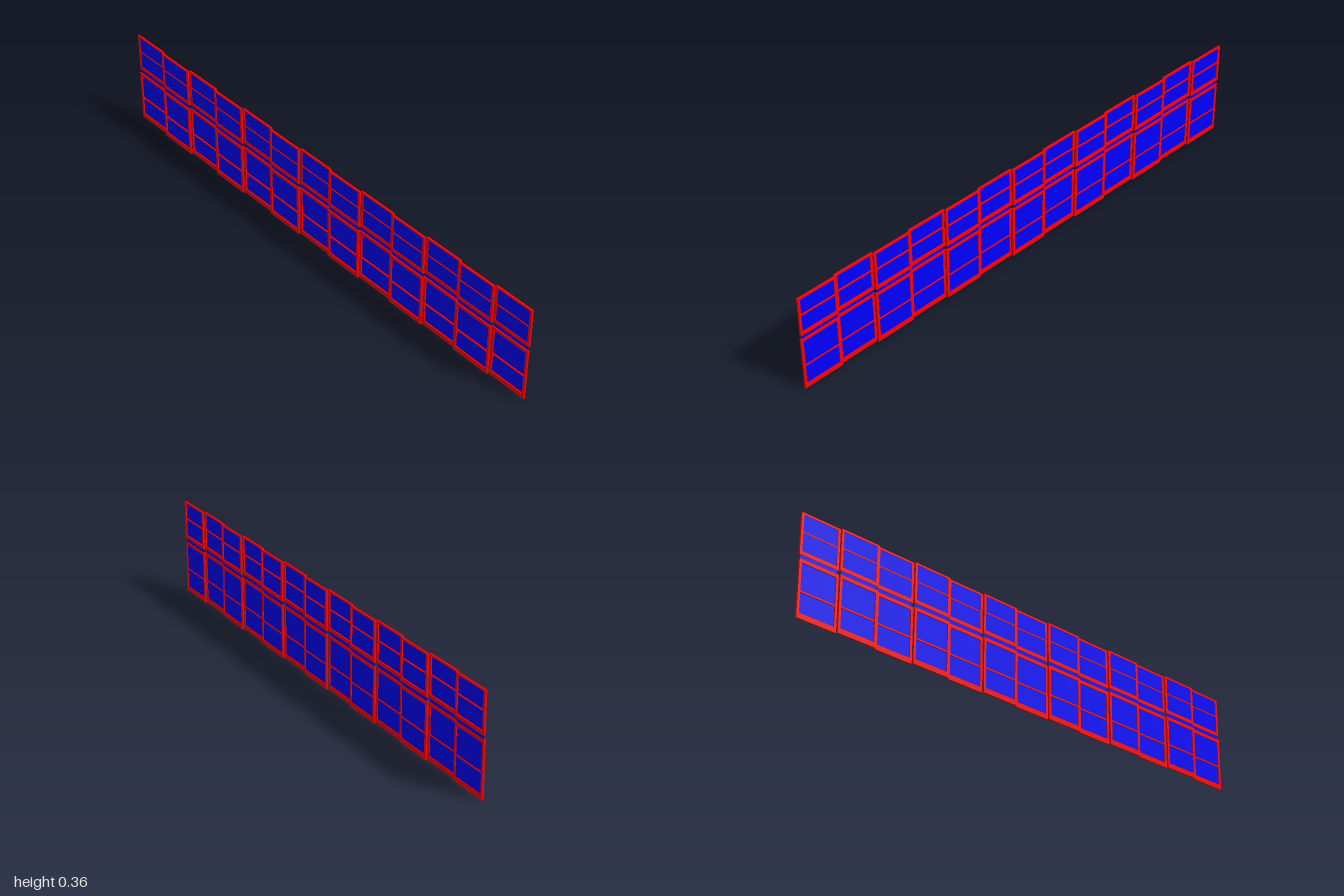
import * as THREE from 'three';

const COLUMNS = 13, PITCH = 2 / COLUMNS, WIDTH = PITCH - 0.0006;
const DEPTH = 0.0065, STILE = 0.009;

const red = new THREE.MeshStandardMaterial({ color: 0xff0000 });
const blue = new THREE.MeshStandardMaterial({ color: 0x0000ff, side: THREE.DoubleSide });

function rect(target, x0, y0, x1, y1) {
  target.moveTo(x0, y0);
  target.lineTo(x1, y0);
  target.lineTo(x1, y1);
  target.lineTo(x0, y1);
  target.closePath();
  return target;
}

// Window frame with two panes: outer height, rail sizes and one crossbar
function sashGeometry({ bottom, top, bottomRail, topRail, bar, barSize }) {
  const w = WIDTH / 2, i = w - STILE;
  const shape = rect(new THREE.Shape(), -w, bottom, w, top);
  shape.holes.push(
    rect(new THREE.Path(), -i, bottom + bottomRail, i, bar - barSize / 2),
    rect(new THREE.Path(), -i, bar + barSize / 2, i, top - topRail)
  );
  const g = new THREE.ExtrudeGeometry(shape, { depth: DEPTH, bevelEnabled: false });
  g.rotateY(-Math.PI / 2); // shape runs along z, depth along -x
  g.translate(DEPTH / 2, 0, 0);
  return g;
}

export function createModel() {
  const model = new THREE.Group();
  model.name = 'windowBank';

  const lower = sashGeometry({ bottom: 0, top: 0.199, bottomRail: 0.018, topRail: 0.012, bar: 0.09, barSize: 0.005 });
  const upper = sashGeometry({ bottom: 0.214, top: 0.36, bottomRail: 0.013, topRail: 0.007, bar: 0.292, barSize: 0.004 });
  const pane = new THREE.PlaneGeometry(WIDTH - 0.008, 0.348).rotateY(Math.PI / 2);

  for (let c = 0; c < COLUMNS; c++) {
    const column = new THREE.Group();
    column.name = `column${c + 1}`;
    column.position.z = 1 - PITCH * (c + 0.5);
    // Neighbouring columns run in alternate tracks
    column.position.x = c % 2 === 0 ? 0.0027 : -0.0043;

    const add = (name, geometry, material, x, y) => {
      const mesh = new THREE.Mesh(geometry, material);
      mesh.name = name;
      mesh.position.set(x, y, 0);
      column.add(mesh);
    };
    add('lowerSash', lower, red, -0.001, 0);
    add('upperSash', upper, red, 0.001, 0);
    // One sheet of glass runs through both sashes
    add('glass', pane, blue, 0, 0.182);
    model.add(column);
  }
  return model;
}
